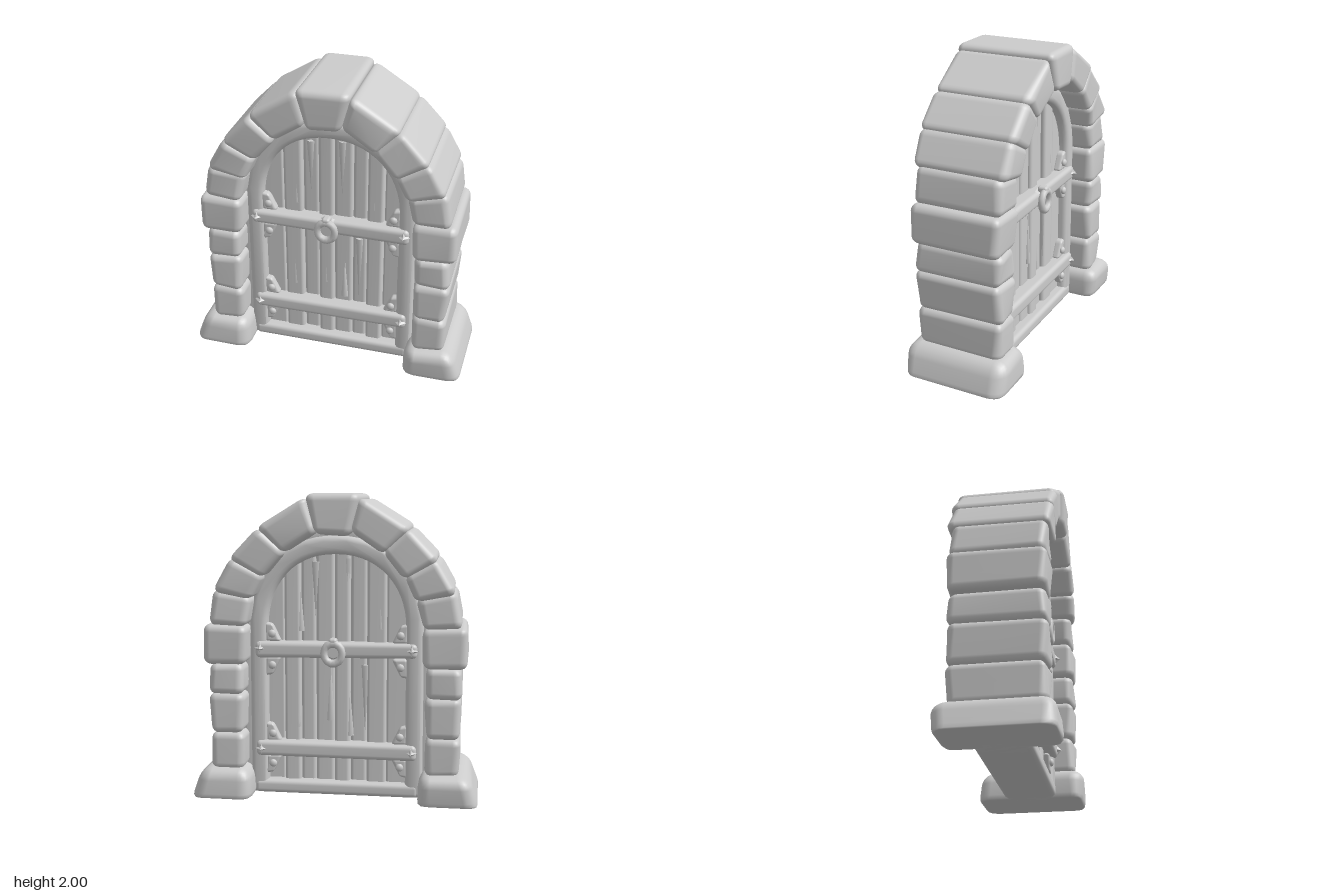
import * as THREE from 'three';
import { mergeVertices, toCreasedNormals } from 'three/addons/utils/BufferGeometryUtils.js';
import { RoundedBoxGeometry } from 'three/addons/geometries/RoundedBoxGeometry.js';

const material = new THREE.MeshStandardMaterial({ color: 0xcccccc });

function add(parent, name, geometry, x = 0, y = 0, z = 0) {
  const mesh = new THREE.Mesh(geometry, material);
  mesh.name = name;
  mesh.position.set(x, y, z);
  parent.add(mesh);
  return mesh;
}

// Soft block: a rounded box whose front outline is bent to four corners
// (lower left, lower right, upper right, upper left), never below the ground
function block(corners, depth, radius, wobble = 0) {
  const [a, b, c, d] = corners;
  const w = (Math.hypot(b[0] - a[0], b[1] - a[1]) + Math.hypot(c[0] - d[0], c[1] - d[1])) / 2;
  const h = (Math.hypot(d[0] - a[0], d[1] - a[1]) + Math.hypot(c[0] - b[0], c[1] - b[1])) / 2;
  let geo = new RoundedBoxGeometry(w, h, depth, 3, Math.min(radius, w * 0.45, h * 0.45));
  geo.deleteAttribute('normal');
  geo.deleteAttribute('uv');
  geo = mergeVertices(geo, 1e-4);
  const p = geo.attributes.position;
  for (let i = 0; i < p.count; i++) {
    const u = p.getX(i) / w + 0.5, v = p.getY(i) / h + 0.5, z = p.getZ(i);
    const mix = k => (a[k] * (1 - u) + b[k] * u) * (1 - v) + (d[k] * (1 - u) + c[k] * u) * v;
    const x = mix(0), y = mix(1);
    const n = wobble * Math.sin(x * 23 + y * 17 + z * 9);
    p.setXYZ(i, x + n * 0.5, Math.max(0, y), z + n);
  }
  geo.computeVertexNormals();
  return geo;
}

const mirror = ([a, b, c, d]) => [b, a, d, c].map(([x, y]) => [-x, y]);
const rect = (x0, y0, x1, y1) => [[x0, y0], [x1, y0], [x1, y1], [x0, y1]];

// Arched outline, running from the +x foot over the top to the -x foot
const SPRING = 1.12;
function archPoints(rx, ry, foot = 0) {
  const pts = [[rx, foot]];
  for (let i = 0; i <= 28; i++) {
    const t = Math.PI * i / 28, c = Math.cos(t);
    pts.push([rx * Math.sign(c) * Math.abs(c) ** 0.92, SPRING + ry * Math.sin(t) ** 0.92]);
  }
  pts.push([-rx, foot]);
  return pts;
}

function archBand(outer, inner, halfDepth, bevel) {
  const pts = [...archPoints(...outer), ...archPoints(...inner).reverse()];
  const shape = new THREE.Shape(pts.map(([x, y]) => new THREE.Vector2(x, y)));
  const geo = new THREE.ExtrudeGeometry(shape, {
    depth: 2 * (halfDepth - bevel), bevelEnabled: true, bevelSize: bevel,
    bevelThickness: bevel, bevelOffset: -bevel, bevelSegments: 3,
  });
  geo.translate(0, 0, bevel - halfDepth);
  return toCreasedNormals(geo, 0.8);
}

// Four-pointed stud: an eight-sided cone with every other edge pulled in
function starStud(radius, height) {
  const geo = new THREE.ConeGeometry(radius, height, 8, 1).toNonIndexed();
  const p = geo.attributes.position;
  for (let i = 0; i < p.count; i++) {
    const k = Math.round(Math.atan2(p.getX(i), p.getZ(i)) / (Math.PI / 4));
    if (k % 2) p.setXYZ(i, p.getX(i) * 0.5, p.getY(i), p.getZ(i) * 0.5);
  }
  geo.rotateX(Math.PI / 2);
  geo.computeVertexNormals();
  return geo;
}

// Stones of one side, from the ground up: corners, depth, edge radius
const SIDE_STONES = [
  [[[0.545, -0.05], [0.97, -0.05], [0.875, 0.205], [0.555, 0.2]], 0.71, 0.085],
  [rect(0.595, 0.18, 0.82, 0.44), 0.59, 0.05],
  [[[0.6, 0.43], [0.815, 0.43], [0.83, 0.7], [0.59, 0.7]], 0.6, 0.05],
  [[[0.6, 0.69], [0.83, 0.69], [0.82, 0.9], [0.59, 0.9]], 0.595, 0.05],
  [[[0.575, 0.89], [0.86, 0.89], [0.86, 1.16], [0.57, 1.15]], 0.61, 0.05],
  [[[0.575, 1.14], [0.825, 1.15], [0.785, 1.39], [0.53, 1.34]], 0.6, 0.05],
  [[[0.53, 1.32], [0.79, 1.37], [0.66, 1.6], [0.45, 1.48]], 0.65, 0.05],
  [[[0.455, 1.46], [0.68, 1.58], [0.48, 1.79], [0.31, 1.635]], 0.66, 0.05],
  [[[0.32, 1.62], [0.5, 1.78], [0.17, 1.985], [0.11, 1.76]], 0.66, 0.05],
];

function stoneArch() {
  const group = new THREE.Group();
  group.name = 'stoneArch';
  SIDE_STONES.forEach(([corners, depth, radius], i) => {
    const name = i === 0 ? 'footStone' : i < 5 ? 'pillarStone' : 'archStone';
    add(group, name + 'Left', block(corners, depth, radius, 0.008));
    add(group, name + 'Right', block(mirror(corners), depth, radius, 0.008));
  });
  add(group, 'keystone', block([[-0.105, 1.73], [0.115, 1.745], [0.18, 2], [-0.185, 2]], 0.685, 0.05, 0.004));
  return group;
}

// Vertical boards cut to the curve, hidden under the frame at their ends
function planks() {
  const group = new THREE.Group();
  group.name = 'planks';
  const edges = [-0.5, -0.33, -0.2, -0.09, 0.015, 0.14, 0.24, 0.35, 0.5];
  const top = x => SPRING + 0.54 * Math.sqrt(Math.max(0, 1 - (x / 0.52) ** 2));
  for (let i = 0; i < edges.length - 1; i++) {
    const x0 = edges[i], x1 = edges[i + 1];
    const depth = 0.215 + 0.03 * Math.sin(i * 2.4);
    add(group, 'plank', block([[x0, 0.04], [x1, 0.04], [x1, top(x1)], [x0, top(x0)]], depth, 0.025));
  }
  return group;
}

// Studs, brackets, splinters and ring pull on one face of the door
function hardware() {
  const group = new THREE.Group();
  group.name = 'doorHardware';
  for (const side of [-1, 1]) {
    for (const y of [0.99, 0.31]) add(group, 'starStud', starStud(0.042, 0.04), side * 0.5, y, 0.205);
    // Bracket foot height and the direction it points from its bar
    for (const [y, dir] of [[1.03, 1], [0.93, -1], [0.355, 1], [0.26, -1]]) {
      const wedge = [[0.365, 0], [0.475, 0], [0.475, 0.13], [0.425, 0.12]].map(([x, h]) => [x, y + dir * h]);
      const corners = dir > 0 ? wedge : [wedge[3], wedge[2], wedge[1], wedge[0]];
      add(group, 'bracket', block(side > 0 ? corners : mirror(corners), 0.06, 0.02), 0, 0, 0.125);
      const knob = add(group, 'bracketKnob', new THREE.IcosahedronGeometry(0.027, 1), side * 0.425, y + dir * 0.055, 0.16);
      knob.scale.z = 0.7;
    }
  }
  // Raised slivers of split wood: x, lower end, length, tip direction
  for (const [x, y, len, dir] of [[-0.26, 0.45, 0.45, 1], [-0.14, 1.2, 0.36, -1], [-0.04, 0.5, 0.4, 1],
    [0.07, 1.2, 0.38, -1], [0.19, 0.42, 0.46, -1], [0.29, 1.12, 0.3, 1], [-0.24, 1.1, 0.3, 1], [0.09, 0.4, 0.3, 1]]) {
    const sliver = add(group, 'woodSplinter', new THREE.ConeGeometry(0.025, len, 4), x, y + len / 2, 0.108);
    sliver.scale.set(1, dir, 0.7);
    if (dir < 0) { sliver.scale.y = 1; sliver.rotation.z = Math.PI; }
  }
  // Ring pull on its backing boss
  const boss = add(group, 'ringBoss', new THREE.CylinderGeometry(0.05, 0.07, 0.04, 8), -0.01, 0.985, 0.185);
  boss.rotation.x = Math.PI / 2;
  const ring = add(group, 'ringPull', new THREE.TorusGeometry(0.06, 0.024, 8, 14), -0.01, 0.97, 0.22);
  ring.scale.y = 1.1;
  add(group, 'ringLug', new RoundedBoxGeometry(0.055, 0.05, 0.07, 2, 0.018), -0.01, 1.045, 0.205);
  return group;
}

function door() {
  const group = new THREE.Group();
  group.name = 'door';
  add(group, 'outerTrim', archBand([0.63, 0.66], [0.53, 0.57], 0.13, 0.02));
  add(group, 'doorFrame', archBand([0.575, 0.61], [0.46, 0.49], 0.17, 0.035));
  add(group, 'sill', block(rect(-0.55, 0, 0.55, 0.09), 0.35, 0.03));
  group.add(planks());
  add(group, 'middleBar', block([[-0.535, 0.94], [0.535, 0.925], [0.535, 1.035], [-0.535, 1.035]], 0.39, 0.03));
  add(group, 'lowerBar', block([[-0.535, 0.255], [0.535, 0.26], [0.535, 0.365], [-0.535, 0.36]], 0.39, 0.03));
  const front = hardware(), back = hardware();
  back.rotation.y = Math.PI;
  group.add(front, back);
  return group;
}

export function createModel() {
  const model = new THREE.Group();
  model.name = 'archedDoorway';
  model.add(stoneArch(), door());
  return model;
}
